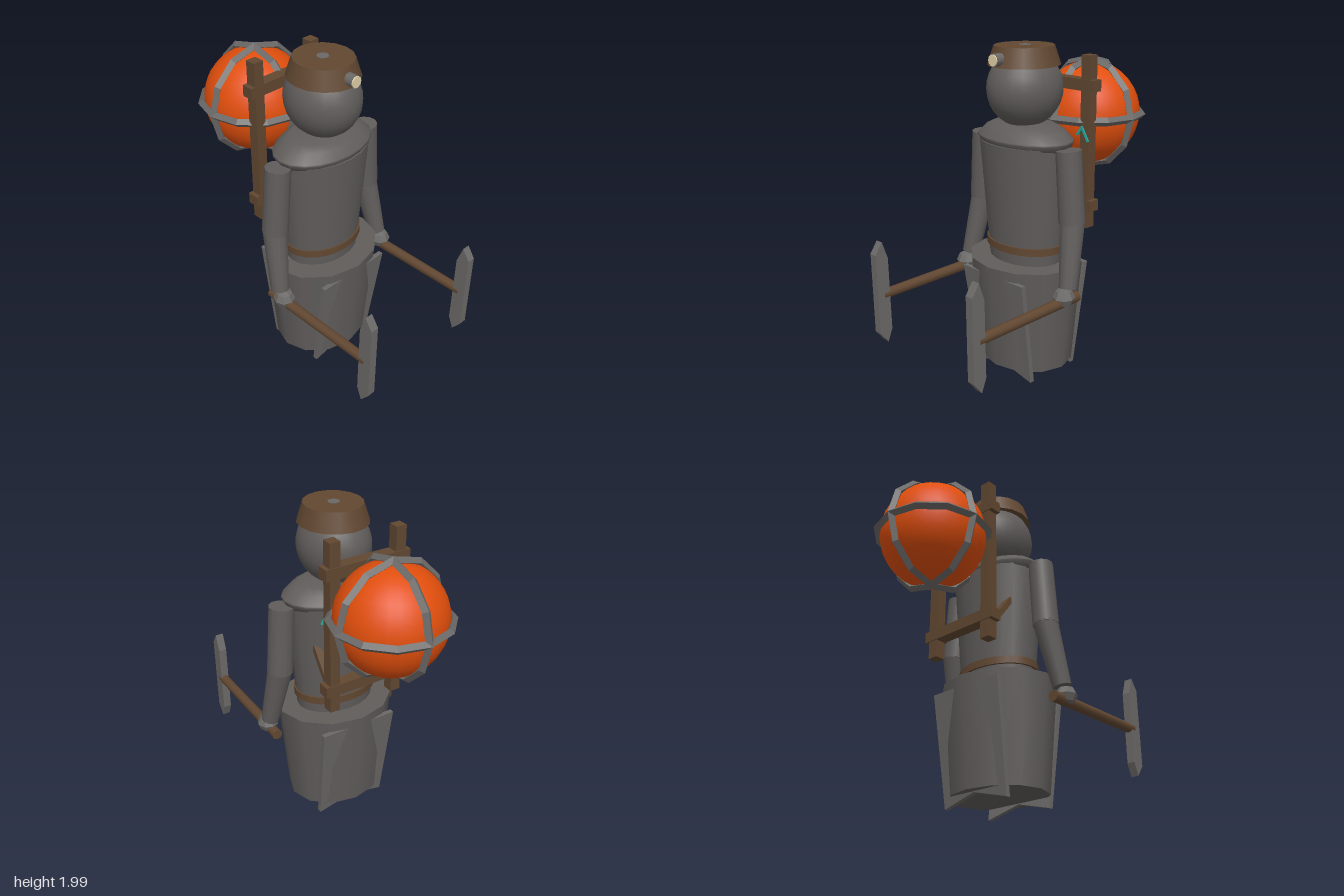
import * as THREE from 'three';

const mat = (name, color, extra = {}) => new THREE.MeshStandardMaterial({ name, color, ...extra });

export function createModel() {
  const root = new THREE.Group();
  root.name = 'lampMiner';
  const cloth = mat('charcoal cloth', 0x605d5b);
  const metal = mat('grey metal', 0x6b6967);
  const metalFlat = metal;
  const brown = mat('brown leather and wood', 0x614731);
  const orange = mat('orange tank', 0xe04e0c);
  const teal = mat('teal paint', 0x25a59a);
  const cream = mat('cream lens', 0xe0d0a8);
  const Z = 0.055; // depth of the body axis

  const add = (name, geo, material, x = 0, y = 0, z = 0, parent = root) => {
    const m = new THREE.Mesh(geo, material);
    m.name = name;
    m.position.set(x, y, z);
    parent.add(m);
    return m;
  };
  const facet = (geo) => {
    const g = geo.index ? geo.toNonIndexed() : geo;
    g.computeVertexNormals();
    return g;
  };
  // Oval tapered drum standing between two heights
  const drum = (name, y0, y1, rx0, rx1, rz0, segs, material, z = Z) => {
    const g = new THREE.CylinderGeometry(rx1, rx0, y1 - y0, segs);
    g.scale(1, 1, rz0 / rx0);
    return add(name, g, material, 0, (y0 + y1) / 2, z);
  };
  // Tapered rod between two points
  const rod = (name, a, b, ra, rb, segs, material, parent = root) => {
    const A = new THREE.Vector3(...a), B = new THREE.Vector3(...b);
    const d = B.clone().sub(A);
    const m = add(name, new THREE.CylinderGeometry(rb, ra, d.length(), segs), material, 0, 0, 0, parent);
    m.position.copy(A).add(B).multiplyScalar(0.5);
    m.quaternion.setFromUnitVectors(new THREE.Vector3(0, 1, 0), d.normalize());
    return m;
  };

  // Body: skirt, torso, belt and shoulder cape
  drum('skirt', 0.075, 0.735, 0.31, 0.37, 0.262, 12, cloth);
  drum('torso', 0.72, 1.45, 0.245, 0.305, 0.182, 20, cloth);
  drum('belt', 0.805, 0.85, 0.265, 0.265, 0.2, 24, brown);
  const cape = new THREE.LatheGeometry(
    [[0, 1.43], [0.305, 1.43], [0.33, 1.47], [0.325, 1.48], [0.275, 1.525], [0.215, 1.553], [0, 1.565]]
      .map(([x, y]) => new THREE.Vector2(x, y)), 20);
  cape.scale(1, 1, 0.68);
  add('shoulderCape', cape, cloth, 0, 0, Z);

  // Skirt panels, partly sunk into the skirt, leaning with its taper
  const panelShape = (s) => new THREE.Shape(
    [[0, 0.07], [0.23 * s, 0.01], [0.25 * s, 0.675], [0, 0.675]].map(([x, y]) => new THREE.Vector2(x, y)));
  for (const s of [-1, 1]) {
    for (const front of [true, false]) {
      const g = new THREE.ExtrudeGeometry(panelShape(s), { depth: 0.03, bevelEnabled: false });
      const p = g.attributes.position;
      for (let i = 0; i < p.count; i++) {
        const lean = 0.14 * p.getY(i);
        p.setZ(i, p.getZ(i) + (front ? 0.215 + lean : -0.14 - lean));
      }
      g.computeVertexNormals();
      add(front ? 'frontSkirtPanel' : 'backSkirtPanel', g, metal);
    }
  }

  // Head, cap and lamp
  const head = add('head', new THREE.SphereGeometry(0.21, 24, 16), cloth, 0, 1.755, Z);
  head.scale.set(1, 1.07, 1.12);
  drum('cap', 1.89, 2, 0.205, 0.17, 0.215, 16, brown, 0.06);
  add('capButton', new THREE.CylinderGeometry(0.035, 0.035, 0.006, 12), metal, 0, 1.999, Z);
  rod('capLamp', [0, 1.935, 0.2], [0, 1.935, 0.3], 0.036, 0.036, 12, metal);
  rod('lampLens', [0, 1.935, 0.3], [0, 1.935, 0.308], 0.033, 0.033, 12, cream);

  // Arms, hands and picks
  const bladeShape = new THREE.Shape(
    [[0.83, 0.915], [0.795, 0.81], [0.793, 0.36], [0.825, 0.28], [0.878, 0.35], [0.878, 0.845]]
      .map(([z, y]) => new THREE.Vector2(-z, y)));
  for (const s of [-1, 1]) {
    const arm = new THREE.Group();
    arm.name = s > 0 ? 'leftArm' : 'rightArm';
    root.add(arm);
    rod('upperArm', [0.345 * s, 1.45, 0.06], [0.375 * s, 1.03, 0.055], 0.075, 0.078, 12, cloth, arm);
    rod('forearm', [0.375 * s, 1.05, 0.05], [0.418 * s, 0.66, 0.13], 0.074, 0.055, 12, cloth, arm);
    const hand = add('hand', facet(new THREE.SphereGeometry(0.066, 8, 4)), metalFlat, 0.418 * s, 0.613, 0.165, arm);
    hand.scale.y = 0.88;
    rod('pickHandle', [0.414 * s, 0.582, 0.05], [0.414 * s, 0.582, 0.83], 0.033, 0.03, 10, brown, arm);
    const g = new THREE.ExtrudeGeometry(bladeShape, { depth: 0.05, bevelEnabled: false });
    g.translate(0, 0, -0.025);
    g.rotateY(Math.PI / 2);
    add('pickBlade', g, metal, 0.414 * s, 0, 0, arm);
  }

  // Wooden pack frame with braces to the back
  for (const s of [-1, 1]) {
    add('framePost', new THREE.BoxGeometry(0.065, 1.045, 0.066), brown, 0.21 * s, 1.41, -0.262);
    const brace = add('frameBrace', new THREE.BoxGeometry(0.045, 0.26, 0.035), brown, 0.2 * s, 1.11, -0.15);
    brace.rotation.x = 0.66;
  }
  for (const y of [1.03, 1.757]) {
    add('frameRung', new THREE.BoxGeometry(0.54, 0.068, 0.074), brown, 0, y, -0.264);
  }

  // Round tank in a cage of three angular hoops
  const tank = new THREE.Group();
  tank.name = 'cagedTank';
  tank.position.set(0, 1.535, -0.515);
  root.add(tank);
  add('tank', new THREE.SphereGeometry(0.316, 28, 18), orange, 0, 0, 0, tank);
  for (const [rx, ry] of [[0, 0], [Math.PI / 2, 0], [0, Math.PI / 2]]) {
    const hoop = add('cageHoop', facet(new THREE.TorusGeometry(0.329, 0.026, 4, 12)), metalFlat, 0, 0, 0, tank);
    hoop.rotation.set(rx, ry, 0);
  }

  // Painted chevron in front of the left post
  for (const [x0, y0, x1, y1] of [[0.165, 1.465, 0.2, 1.51], [0.2, 1.51, 0.245, 1.435]]) {
    const bar = add('chevronStroke', new THREE.BoxGeometry(Math.hypot(x1 - x0, y1 - y0) + 0.012, 0.014, 0.009),
      teal, (x0 + x1) / 2, (y0 + y1) / 2, -0.218);
    bar.rotation.z = Math.atan2(y1 - y0, x1 - x0);
  }
  return root;
}
